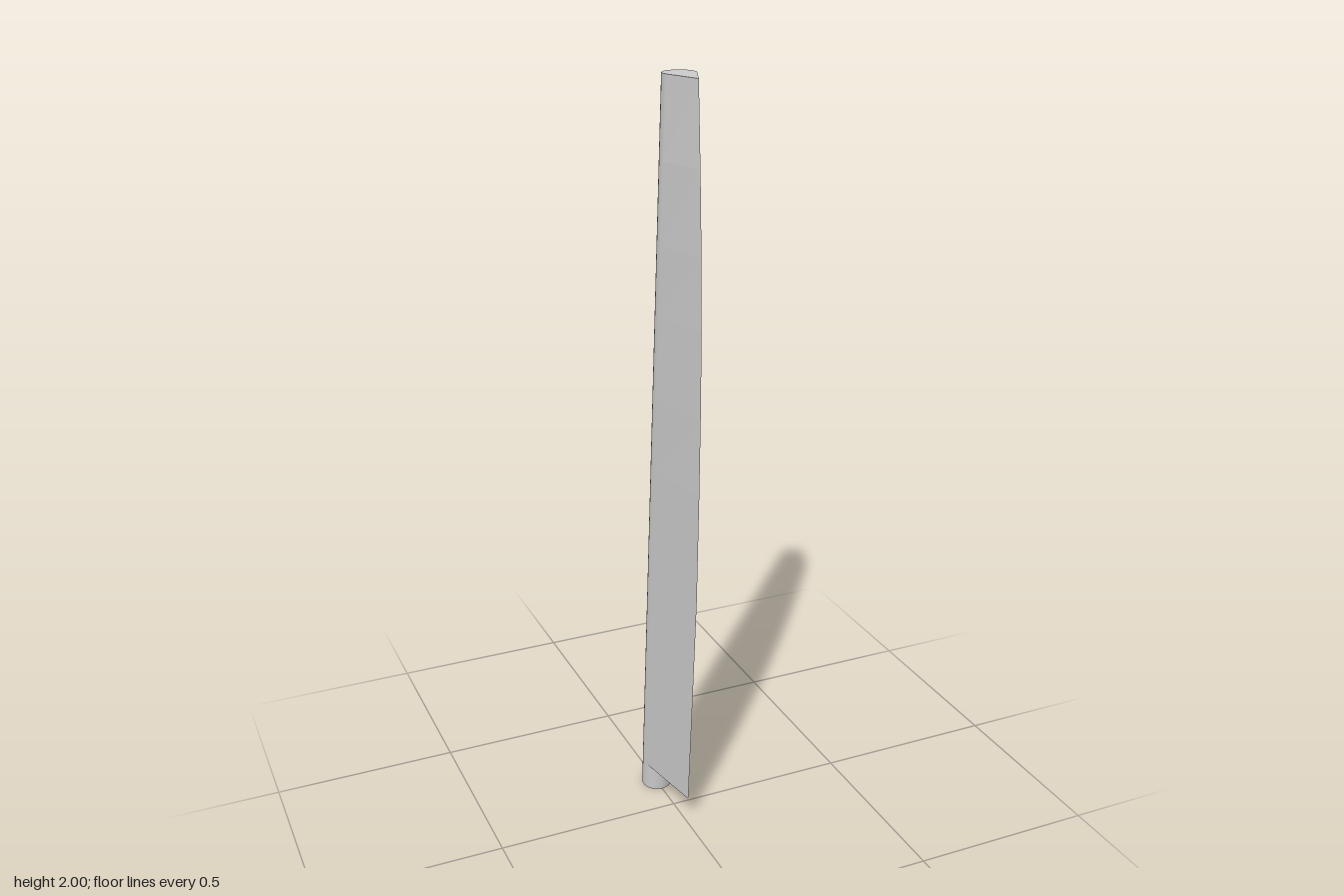
import * as THREE from 'three';

const R = 0.041;
// the mast leans forward as it rises
const mastZ = (y) => -0.122 + 0.0765 * y;

export function createModel() {
  const group = new THREE.Group();

  // leaning round mast: sheared cylinder, foot cut square to its axis, top cut level
  const mastGeo = new THREE.CylinderGeometry(R, R, 2, 32);
  mastGeo.translate(0, 1, 0);
  const p = mastGeo.attributes.position;
  for (let i = 0; i < p.count; i++) {
    const z = p.getZ(i);
    let y = p.getY(i);
    if (y < 1) y = 0.077 * (R - z);
    p.setXYZ(i, p.getX(i), y, z + mastZ(y));
  }
  mastGeo.computeVertexNormals();
  const mast = new THREE.Mesh(mastGeo, new THREE.MeshStandardMaterial({ color: 0xcccccc }));
  mast.name = 'mast';
  group.add(mast);

  // wing sail: wedge sections running from the mast's tangent lines to a sharp trailing edge
  const trailingEdge = [
    [0.08, 0.098], [0.39, 0.122], [0.7, 0.145], [1.0, 0.156], [1.2, 0.161],
    [1.42, 0.163], [1.6, 0.159], [1.8, 0.15], [2, 0.138],
  ];
  const sections = trailingEdge.map(([y, tip]) => {
    const c = mastZ(y);
    const s = R / (tip - c);
    const x = R * Math.sqrt(1 - s * s);
    return { l: [x, y, c + R * s], r: [-x, y, c + R * s], t: [0, y, tip] };
  });
  const v = [];
  const tri = (...corners) => corners.forEach((q) => v.push(...q));
  for (let i = 0; i < sections.length - 1; i++) {
    const a = sections[i], b = sections[i + 1];
    tri(a.t, a.l, b.l); // left skin
    tri(a.t, b.l, b.t);
    tri(a.r, a.t, b.t); // right skin
    tri(a.r, b.t, b.r);
  }
  const bottom = sections[0], top = sections[sections.length - 1];
  tri(bottom.r, bottom.l, bottom.t);
  tri(top.l, top.r, top.t);
  const sailGeo = new THREE.BufferGeometry();
  sailGeo.setAttribute('position', new THREE.Float32BufferAttribute(v, 3));
  sailGeo.computeVertexNormals();
  const sail = new THREE.Mesh(sailGeo, new THREE.MeshStandardMaterial({ color: 0xcccccc, flatShading: true }));
  sail.name = 'wingSail';
  group.add(sail);

  return group;
}
